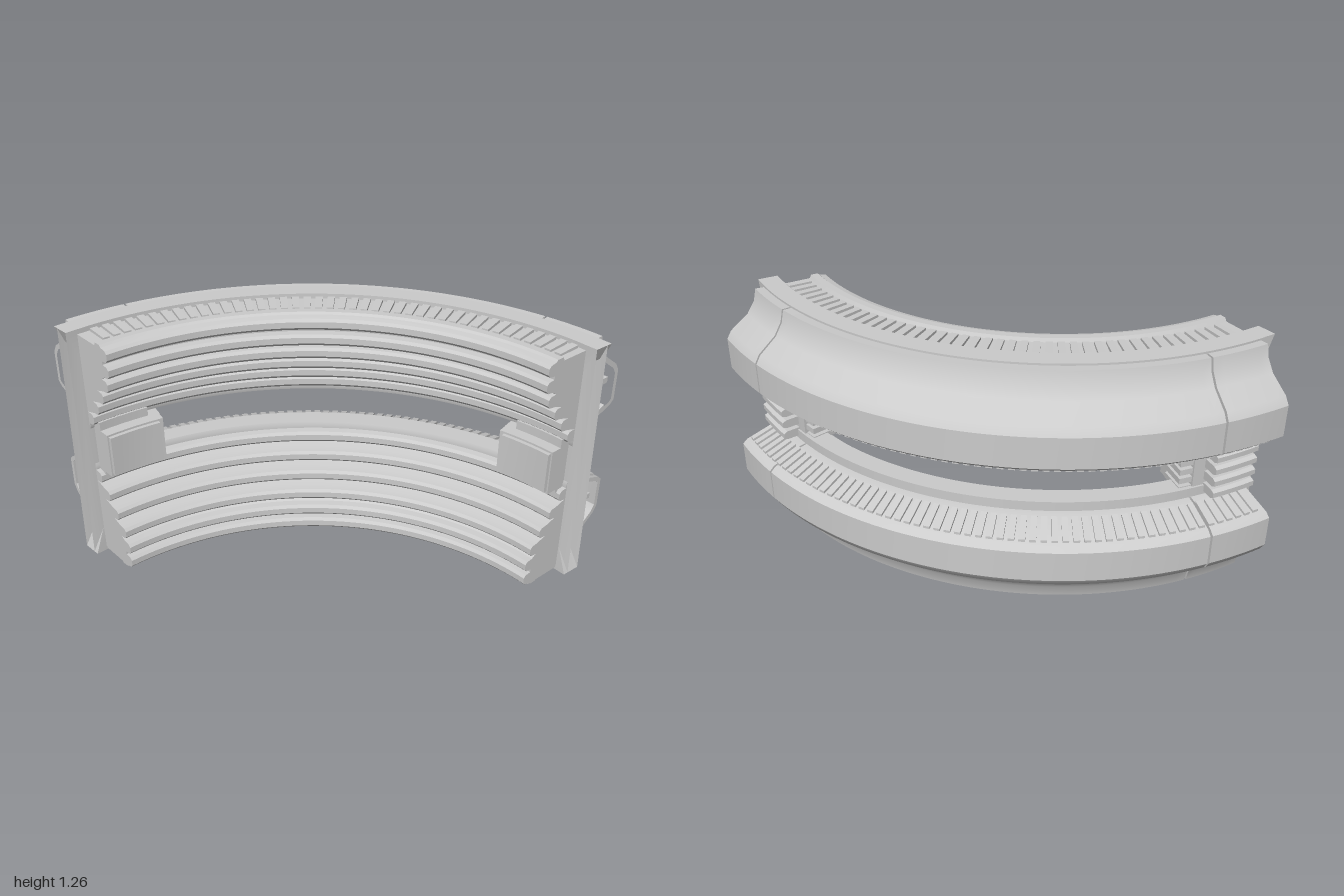
import * as THREE from 'three';
import { mergeGeometries, toCreasedNormals } from 'three/addons/utils/BufferGeometryUtils.js';

const H = Math.PI / 2;          // the model is a quarter ring
const CX = -0.94, CZ = 0.93;    // centre of the ring
const HEIGHT = 1.26;

// Sweep a closed (radius, height) profile from angle a0 to a1.
// flare(y) scales how far the sweep sticks out past the quarter circle.
function arc(profile, a0, a1, steps = 1, { hole, flare } = {}) {
  const toVec = (p) => p.map(([r, y]) => new THREE.Vector2(r, y));
  const shape = new THREE.Shape(toVec(profile));
  if (hole) shape.holes.push(new THREE.Path(toVec(hole)));
  const geo = new THREE.ExtrudeGeometry(shape, { depth: 1, steps, bevelEnabled: false });
  const pos = geo.attributes.position;
  for (let i = 0; i < pos.count; i++) {
    const r = pos.getX(i), y = pos.getY(i);
    let a = a1 + (a0 - a1) * pos.getZ(i);
    if (flare && a < 0) a *= flare(y);
    if (flare && a > H) a = H + (a - H) * flare(y);
    pos.setXYZ(i, CX + r * Math.cos(a), y, CZ - r * Math.sin(a));
  }
  return toCreasedNormals(geo, 0.45);
}

const rect = (r0, r1, y0, y1) => [[r0, y0], [r1, y0], [r1, y1], [r0, y1]];
const flip = (profile) => profile.map(([r, y]) => [r, HEIGHT - y]);
// The same part at both ends of the quarter ring
const atEnds = (profile, a0, a1, steps, opt) => [
  arc(profile, a0, a1, steps, opt),
  arc(profile, H - a1, H - a0, steps, opt),
];
// Evenly spaced narrow strips around the ring
function strips(profile, count, a0, a1, fill) {
  const pitch = (a1 - a0) / count;
  return Array.from({ length: count }, (_, i) =>
    arc(profile, a0 + pitch * i, a0 + pitch * (i + fill)));
}

// Upper wall: rail, recessed walkway, lip, then ribs stepping back downwards
function wallProfile() {
  const p = [
    [1.61, 0.73], [1.71, 0.73], [1.71, 1.26], [1.61, 1.26], [1.61, 1.235], [1.46, 1.235],
    [1.45, 1.252], [1.415, 1.252], [1.405, 1.242], [1.385, 1.238],
  ];
  const ribRadius = [1.36, 1.36, 1.385, 1.44, 1.5, 1.56];
  const h = 0.082;
  ribRadius.forEach((r, i) => {
    const t = 1.238 - i * h;
    if (i > 0) p.push([r + 0.045, t]);
    p.push([r + 0.012, t - 0.003], [r, t - 0.016], [r, t - 0.046],
      [r + 0.012, t - 0.06], [r + 0.045, t - 0.064]);
  });
  p.push([1.605, 0.746]);
  return p;
}

// Outer bumper skin and the solid core inside it
const SKIN = [
  [1.71, 1.25], [1.755, 1.252], [1.77, 1.19], [1.81, 1.13], [1.905, 1.06], [1.93, 1.02],
  [1.93, 0.86], [1.905, 0.838], [1.75, 0.785], [1.71, 0.78],
];
const CORE = [
  [1.72, 1.23], [1.738, 1.23], [1.748, 1.18], [1.795, 1.11], [1.885, 1.045], [1.907, 1.01],
  [1.907, 0.87], [1.893, 0.858], [1.747, 0.808], [1.72, 0.802],
];

export function createModel() {
  const model = new THREE.Group();
  const material = new THREE.MeshStandardMaterial({ color: 0xcccccc });
  const add = (name, geos, parent = model) => {
    const mesh = new THREE.Mesh(mergeGeometries(geos), material);
    mesh.name = name;
    parent.add(mesh);
  };

  // Two mirrored tiers
  for (const [name, side] of [['upperTier', (p) => p], ['lowerTier', flip]]) {
    const tier = new THREE.Group();
    tier.name = name;
    model.add(tier);

    add('ribbedWall', [arc(side(wallProfile()), -0.014, H + 0.014, 56)], tier);

    // Bumper in three panels with a seam near each end; the ends are hollow
    const hole = side(CORE);
    add('bumperSkin', [
      arc(side(SKIN), 0.176, H - 0.176, 48, { hole }),
      ...atEnds(side(SKIN), 0, 0.17, 6, { hole }),
    ], tier);
    add('bumperCore', [arc(side(CORE), 0.05, H - 0.05, 56)], tier);

    // Braces in the hollow bumper ends
    const braces = [
      [[1.72, 0.93], [1.84, 0.9], [1.84, 0.93], [1.72, 0.96]],
      [[1.72, 1.08], [1.84, 1.02], [1.84, 1.06], [1.72, 1.13]],
      rect(1.82, 1.855, 0.87, 1.07),
      rect(1.74, 1.77, 0.84, 1.13),
      rect(1.855, 1.9, 0.95, 0.98),
    ];
    add('bumperBraces', braces.flatMap((b, i) =>
      atEnds(side(b), 0.012 + 0.004 * (i % 3), 0.055)), tier);

    // Slats on the bumper face beside the gap
    const slat = [[1.758, 0.775], [1.887, 0.819], [1.887, 0.836], [1.758, 0.792]];
    add('bumperSlats', strips(side(slat), 58, 0.01, H - 0.01, 0.62), tier);
  }

  // Walkway slats on top, plain cover underneath
  add('walkwaySlats', strips(
    [[1.475, 1.23], [1.6, 1.23], [1.6, 1.25], [1.475, 1.247]], 42, 0.01, H - 0.01, 0.6));
  add('bottomCover', [arc(rect(1.4, 1.62, 0.01, 0.04), -0.012, H + 0.012, 48)]);

  // End columns: two flared strips with a recessed bar between them
  const flare = (y) => {
    const d = Math.min(y, HEIGHT - y);
    return d > 0.14 ? 1 : 3 - 2 * (d / 0.14);
  };
  const strip = (r0, r1) => [
    [r0, 0], [r1, 0], [r1, 0.14], [r1, 1.12], [r1, HEIGHT], [r0, HEIGHT], [r0, 1.12], [r0, 0.14],
  ];
  add('endColumns', [
    ...atEnds(strip(1.61, 1.637), -0.0165, 0.03, 1, { flare }),
    ...atEnds(strip(1.683, 1.71), -0.0165, 0.03, 1, { flare }),
    ...atEnds(rect(1.637, 1.683, 0.08, 1.18), -0.004, 0.03),
    ...atEnds(rect(1.651, 1.669, 0.1, 1.16), -0.014, 0.0),
    ...[[0, 0.08], [1.18, HEIGHT]].flatMap(([y0, y1]) =>
      atEnds(rect(1.637, 1.683, y0, y1), -0.0165, 0.03, 1, { flare })),
  ]);

  // Blocks closing the gap at each end, with inner teeth and outer fins
  add('endBlocks', [
    ...atEnds(rect(1.49, 1.55, 0.5, 0.735), 0, 0.2, 5),
    ...atEnds(rect(1.47, 1.5, 0.515, 0.725), 0.005, 0.185, 5),
    ...atEnds(rect(1.55, 1.7, 0.48, 0.78), 0, 0.165, 5),
  ]);
  const teeth = [], fins = [];
  for (let i = 0; i < 5; i++) {
    const y = 0.505 + i * 0.048;
    teeth.push(...atEnds(rect(1.55, 1.69, y, y + 0.03), 0.16, 0.205, 2));
  }
  for (let i = 0; i < 4; i++) {
    const y = 0.495 + i * 0.066;
    fins.push(...atEnds([
      [1.7, y], [1.77, y], [1.79, y + 0.01], [1.79, y + 0.036], [1.77, y + 0.046], [1.7, y + 0.046],
    ], -0.004, 0.13, 4));
  }
  add('innerTeeth', teeth);
  add('outerFins', fins);

  return model;
}
